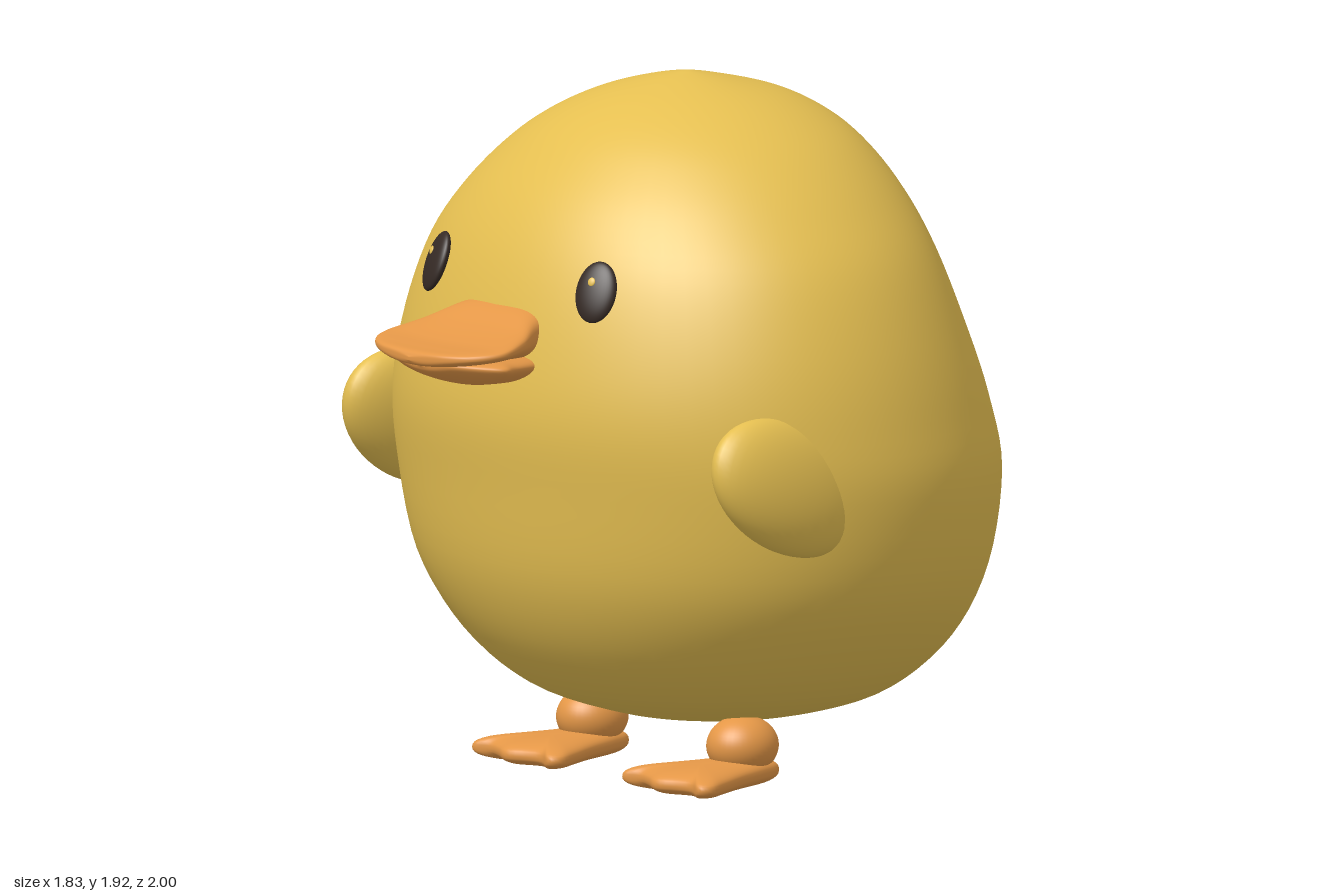
import * as THREE from 'three';
import { mergeVertices } from 'three/addons/utils/BufferGeometryUtils.js';

const paint = (name, color) => {
  const m = new THREE.MeshStandardMaterial({ color });
  m.name = name;
  return m;
};

function mesh(name, geometry, material, parent) {
  const m = new THREE.Mesh(geometry, material);
  m.name = name;
  parent.add(m);
  return m;
}

// Weld by position and recompute smooth normals
function smooth(geometry) {
  geometry.deleteAttribute('normal');
  geometry.deleteAttribute('uv');
  const g = mergeVertices(geometry, 1e-5);
  g.computeVertexNormals();
  return g;
}

// Loft through rows of [axis position, half width, high side, low side]
function loft(rows, place, power = 1, edgeLift = 0, around = 64, along = 60) {
  const curve = (pick) => new THREE.CatmullRomCurve3(rows.map(pick), false, 'catmullrom', 0.5);
  const main = curve((r) => new THREE.Vector3(r[0], r[1], r[2]));
  const low = curve((r) => new THREE.Vector3(r[3], 0, 0));
  const bend = (c) => Math.sign(c) * Math.abs(c) ** power;
  const positions = [], index = [];
  for (let j = 0; j <= along; j++) {
    const p = main.getPoint(j / along), lo = low.getPoint(j / along).x;
    for (let i = 0; i < around; i++) {
      const a = (i / around) * Math.PI * 2;
      const c = bend(Math.cos(a)), s = bend(Math.sin(a));
      const other = (p.z + lo) / 2 + ((p.z - lo) / 2) * s + edgeLift * c * c * (p.y / 0.25);
      positions.push(...place(p.y * c, other, p.x));
      if (j < along) {
        const k = (i + 1) % around, b = j * around, t = b + around;
        index.push(b + i, t + i, b + k, b + k, t + i, t + k);
      }
    }
  }
  const g = new THREE.BufferGeometry();
  g.setAttribute('position', new THREE.Float32BufferAttribute(positions, 3));
  g.setIndex(index);
  return smooth(g);
}

function ellipsoid(rx, ry, rz) {
  return new THREE.SphereGeometry(1, 40, 28).scale(rx, ry, rz);
}

// Webbed foot: a flattened ball with full edges, stretched to a three-toed outline
function footGeometry() {
  const half = [[0.055, 0.01], [0.078, 0.07], [0.11, 0.17], [0.155, 0.275], [0.182, 0.345],
    [0.16, 0.38], [0.11, 0.362], [0.06, 0.375]];
  const points = [[0, 0], ...half, [0, 0.4], ...half.map(([x, z]) => [-x, z]).reverse()];
  const outline = new THREE.CatmullRomCurve3(
    points.map(([x, z]) => new THREE.Vector3(x, 0, z)), true, 'catmullrom', 0.5);
  const g = new THREE.SphereGeometry(1, 72, 24);
  const pos = g.attributes.position, midZ = 0.24;
  for (let i = 0; i < pos.count; i++) {
    const x = pos.getX(i), y = pos.getY(i), z = pos.getZ(i);
    const s = Math.hypot(x, z) ** 0.8;
    const turn = (Math.atan2(x, -z) / (Math.PI * 2) + 1) % 1;
    const o = outline.getPoint(turn);
    const fz = midZ + (o.z - midZ) * s;
    const h = THREE.MathUtils.lerp(0.045, 0.035, fz / 0.4);
    pos.setXYZ(i, o.x * s, 0.003 + h * (1 + Math.sign(y) * Math.abs(y) ** 0.75), fz);
  }
  return smooth(g);
}

// Wing: a tilted flat egg, leaning inward at the top
function wingGeometry(side) {
  const g = ellipsoid(0.09, 0.175, 0.262);
  g.rotateX(-0.46);
  const pos = g.attributes.position;
  for (let i = 0; i < pos.count; i++) pos.setX(i, pos.getX(i) - side * 0.1 * pos.getY(i));
  return smooth(g);
}

export function createModel() {
  const yellow = paint('yellow', 0xe5bf51);
  const orange = paint('orange', 0xe49747);
  const dark = paint('dark brown', 0x352a25);
  const model = new THREE.Group();
  model.name = 'duckling';

  // Body: y, half width, front z, back z
  mesh('body', loft([
    [0.135, 0, -0.05, -0.05], [0.152, 0.15, 0.1, -0.2], [0.18, 0.33, 0.25, -0.395],
    [0.25, 0.535, 0.435, -0.55], [0.39, 0.71, 0.59, -0.685], [0.59, 0.85, 0.69, -0.75],
    [0.85, 0.911, 0.732, -0.77], [1.05, 0.897, 0.75, -0.73], [1.25, 0.85, 0.72, -0.66],
    [1.45, 0.765, 0.66, -0.588], [1.6, 0.65, 0.58, -0.525], [1.72, 0.525, 0.475, -0.445],
    [1.8, 0.405, 0.375, -0.36], [1.86, 0.27, 0.255, -0.245], [1.9, 0.12, 0.125, -0.09],
    [1.92, 0, 0.02, 0.02],
  ], (x, z, y) => [x, y, z], 1, 0, 72, 75), yellow, model);

  mesh('tail', ellipsoid(0.185, 0.245, 0.235), yellow, model).position.set(0, 0.66, -0.765);

  // Bill: z from tip to root, half width, top y, bottom y
  const forward = (x, y, z) => [x, y, z];
  const bill = new THREE.Group();
  bill.name = 'bill';
  model.add(bill);
  mesh('upperBill', loft([
    [1.0, 0, 1.235, 1.225], [0.985, 0.13, 1.25, 1.212], [0.94, 0.215, 1.256, 1.21],
    [0.87, 0.253, 1.267, 1.212], [0.78, 0.228, 1.3, 1.21], [0.7, 0.185, 1.345, 1.2],
    [0.6, 0.16, 1.37, 1.2],
  ], forward, 0.75, 0.016), orange, bill);
  mesh('lowerBill', loft([
    [0.96, 0, 1.217, 1.207], [0.94, 0.12, 1.222, 1.184], [0.86, 0.23, 1.226, 1.152],
    [0.78, 0.205, 1.23, 1.14], [0.6, 0.16, 1.23, 1.135],
  ], forward, 1, 0.022), orange, bill);

  const footShape = footGeometry();
  for (const side of [-1, 1]) {
    const label = side > 0 ? 'left' : 'right';

    mesh(label + 'Wing', wingGeometry(side), yellow, model).position.set(side * 0.793, 0.905, 0.328);

    // Eye, facing outward along the body surface, with a small glint
    const eye = new THREE.Group();
    eye.name = label + 'EyeGroup';
    eye.position.set(side * 0.34, 1.415, 0.622);
    eye.lookAt(side * 0.69, 1.75, 1.492);
    model.add(eye);
    mesh(label + 'Eye', ellipsoid(0.061, 0.085, 0.022), dark, eye);
    mesh(label + 'EyeGlint', ellipsoid(0.011, 0.012, 0.004), yellow, eye).position.set(-0.008, 0.024, 0.021);

    // Leg and foot
    mesh(label + 'Leg', ellipsoid(0.093, 0.082, 0.102), orange, model).position.set(side * 0.32, 0.116, 0.093);
    mesh(label + 'Foot', footShape, orange, model).position.set(side * 0.32, 0, 0);
  }
  return model;
}
